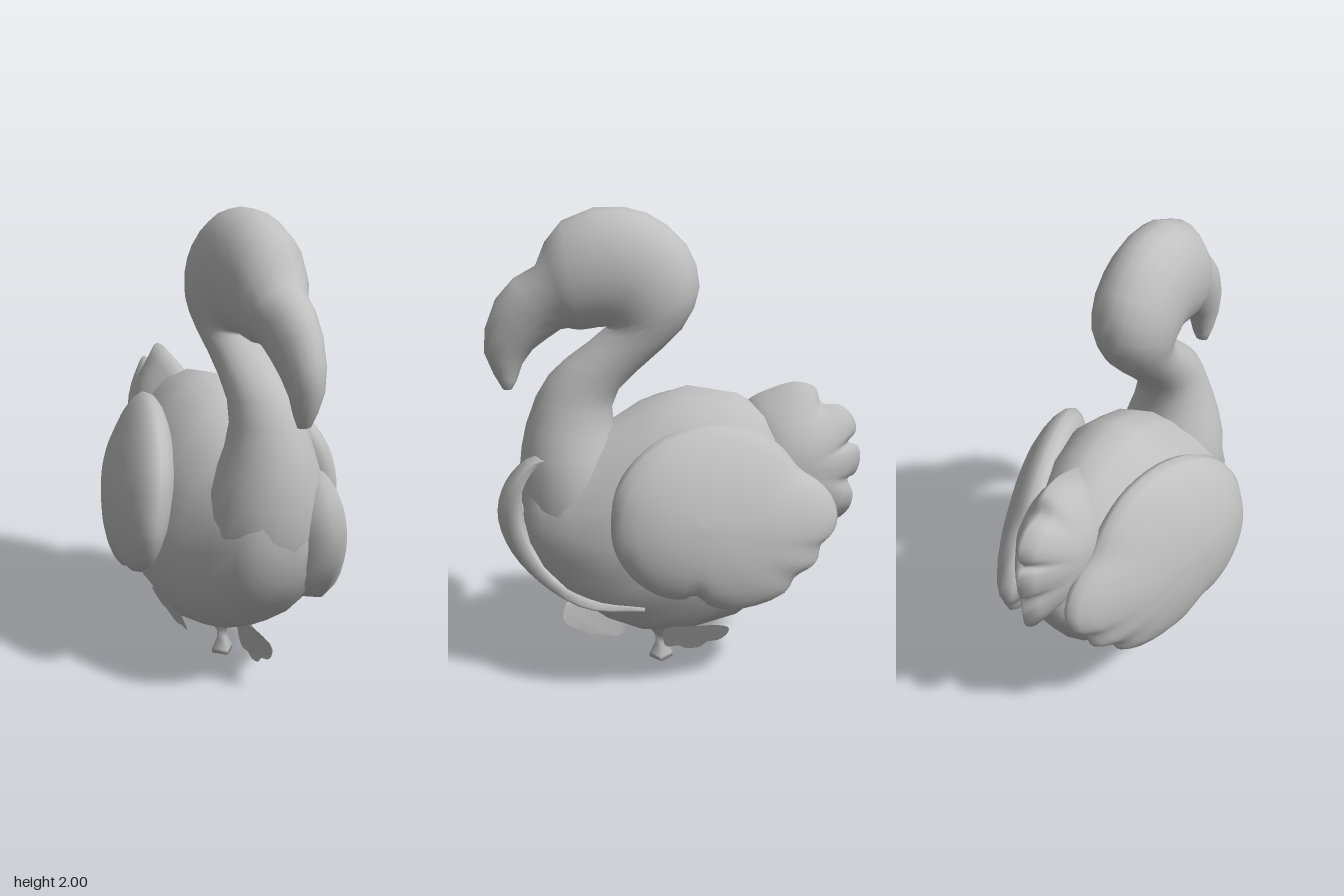
import * as THREE from 'three';

const grey = new THREE.MeshStandardMaterial({ color: 0xc0c0c0, side: THREE.DoubleSide });
grey.name = 'plain grey';

// Skins rows of points; closed rows wrap round and the result is turned outward
function loft(rows, closed = true) {
  const n = rows[0].length, pos = rows.flat(2), index = [];
  for (let i = 0; i < rows.length - 1; i++) {
    for (let j = 0; j < (closed ? n : n - 1); j++) {
      const a = i * n + j, b = i * n + (j + 1) % n, c = a + n, d = b + n;
      index.push(a, b, c, b, d, c);
    }
  }
  if (closed) {
    let volume = 0;
    const v = (i) => new THREE.Vector3().fromArray(pos, i * 3);
    for (let i = 0; i < index.length; i += 3) {
      volume += v(index[i]).dot(v(index[i + 1]).cross(v(index[i + 2])));
    }
    if (volume < 0) index.reverse();
  }
  const g = new THREE.BufferGeometry();
  g.setAttribute('position', new THREE.Float32BufferAttribute(pos, 3));
  g.setIndex(index);
  g.computeVertexNormals();
  return g;
}

const ring = (fn, n = 20) => Array.from({ length: n }, (_, i) => fn(Math.cos(i / n * 2 * Math.PI), Math.sin(i / n * 2 * Math.PI)));

const smooth = (pts, n, closed) => new THREE.CatmullRomCurve3(
  pts.map((p) => new THREE.Vector3(p[0], p[1], p[2] ?? 0)), closed, 'centripetal').getPoints(n);

// Lens-shaped feather mass: a (z, y) outline bulging either side of a base surface.
// The scallops of the outline fade out toward the centre.
function lens(outline, centre, baseX, outer, inner, profile, side = 1) {
  const rim = smooth(outline, 72, true).slice(0, -1);
  const soft = rim.map((_, i) => {
    const mean = new THREE.Vector3();
    for (let k = -6; k <= 6; k++) mean.addScaledVector(rim[(i + k + 72) % 72], 1 / 13);
    return mean;
  });
  const steps = 7, rows = [];
  for (let k = -steps; k <= steps; k++) {
    const [r, h] = profile(1 - Math.abs(k) / steps);
    rows.push(rim.map((p, i) => {
      const q = soft[i].clone().lerp(p, r ** 4);
      const z = centre[0] + (q.x - centre[0]) * r, y = centre[1] + (q.y - centre[1]) * r;
      return [side * (baseX(z, y) + h * (k < 0 ? outer : -inner)), y, z];
    }));
  }
  return loft(rows);
}

export function createModel() {
  const model = new THREE.Group();
  const add = (name, geometry) => {
    const mesh = new THREE.Mesh(geometry, grey);
    mesh.name = name;
    model.add(mesh);
    return mesh;
  };

  // Body: egg-shaped sections as z, bottom, top, half width
  const body = [
    [-0.64, 0.75, 0.76, 0.005], [-0.6, 0.59, 0.95, 0.1], [-0.45, 0.37, 1.1, 0.22],
    [-0.25, 0.23, 1.22, 0.32], [-0.05, 0.175, 1.255, 0.365], [0.15, 0.175, 1.19, 0.37],
    [0.3, 0.23, 1.09, 0.335], [0.45, 0.33, 1.05, 0.27], [0.57, 0.46, 1.0, 0.21],
    [0.625, 0.57, 0.95, 0.155], [0.65, 0.67, 0.87, 0.08], [0.655, 0.76, 0.77, 0.005],
  ];
  add('body', loft(body.map(([z, lo, hi, w]) => ring((c, s) =>
    [w * c * (1 - 0.15 * s), (lo + hi) / 2 + s * (hi - lo) / 2, z]))));

  // Breast, neck, head and beak: front z, y, back z, y, half width
  const neck = [
    [0.55, 0.5, 0.2, 0.5, 0.2], [0.635, 0.63, 0.2, 0.63, 0.235], [0.665, 0.78, 0.2, 0.78, 0.243],
    [0.664, 0.9, 0.21, 0.9, 0.232], [0.652, 1.0, 0.24, 1.0, 0.205],
    [0.63, 1.1, 0.262, 1.08, 0.174],
    [0.585, 1.22, 0.27, 1.17, 0.145], [0.53, 1.31, 0.24, 1.25, 0.133], [0.46, 1.375, 0.16, 1.33, 0.127],
    [0.37, 1.44, 0.06, 1.42, 0.128], [0.31, 1.49, -0.025, 1.505, 0.138], [0.288, 1.505, -0.073, 1.59, 0.15],
    [0.285, 1.51, -0.093, 1.67, 0.16], [0.285, 1.515, -0.08, 1.76, 0.166], [0.29, 1.515, -0.04, 1.845, 0.17],
    [0.3, 1.515, 0.04, 1.925, 0.17], [0.31, 1.51, 0.12, 1.973, 0.17], [0.325, 1.51, 0.21, 1.997, 0.17],
    [0.35, 1.505, 0.33, 1.997, 0.168], [0.39, 1.5, 0.46, 1.945, 0.16], [0.42, 1.505, 0.53, 1.86, 0.145],
    [0.44, 1.51, 0.57, 1.765, 0.122], [0.47, 1.505, 0.66, 1.715, 0.108], [0.53, 1.465, 0.735, 1.63, 0.095],
    [0.59, 1.42, 0.782, 1.51, 0.08], [0.635, 1.36, 0.79, 1.41, 0.062], [0.66, 1.29, 0.755, 1.32, 0.045],
    [0.68, 1.255, 0.72, 1.255, 0.028], [0.7, 1.25, 0.702, 1.25, 0.002],
  ];
  add('neckHeadAndBeak', loft(neck.map(([fz, fy, bz, by, w]) => ring((c, s) =>
    [w * c, (fy + by) / 2 + s * (fy - by) / 2, (fz + bz) / 2 + s * (fz - bz) / 2]))));

  // Folded wings with a scalloped trailing edge, sunk into the body
  const wing = [
    [0.285, 0.8], [0.26, 0.95], [0.18, 1.06], [0.05, 1.14], [-0.12, 1.17], [-0.3, 1.13], [-0.42, 1.04],
    [-0.5, 0.94], [-0.58, 0.88], [-0.64, 0.81], [-0.67, 0.72], [-0.65, 0.65], [-0.6, 0.61], [-0.575, 0.53],
    [-0.49, 0.49], [-0.44, 0.42], [-0.25, 0.38], [-0.12, 0.41], [-0.05, 0.475], [0, 0.46], [0.1, 0.49],
    [0.2, 0.57], [0.27, 0.69],
  ];
  const dome = (t) => [Math.sin(t * Math.PI / 2), Math.cos(t * Math.PI / 2)];
  for (const side of [1, -1]) {
    add(side > 0 ? 'leftWing' : 'rightWing', lens(wing, [-0.08, 0.8],
      (z, y) => 0.3 + 0.28 * (z + 0.1) - 0.14 * (y - 0.8), 0.157, 0.14, dome, side));
  }

  // Upright tail fan with rounded feather tips
  const tail = [
    [-0.25, 1.1], [-0.3, 1.19], [-0.4, 1.24], [-0.5, 1.265], [-0.58, 1.24], [-0.61, 1.17], [-0.69, 1.16],
    [-0.75, 1.1], [-0.76, 1.04], [-0.73, 0.995], [-0.77, 0.98], [-0.785, 0.92], [-0.765, 0.85],
    [-0.735, 0.83], [-0.76, 0.76], [-0.745, 0.69], [-0.68, 0.635], [-0.55, 0.62], [-0.35, 0.7], [-0.25, 0.9],
  ];
  add('tail', lens(tail, [-0.45, 0.93], () => 0, 0.16, 0.16, (t) => [t, 1 - t ** 2.2]));

  // Curled crescent feather on the left of the breast: root, crest, rim and inner rows
  const crescent = [
    [[0.15, 0.97, 0.45], [0.11, 0.97, 0.58], [0.07, 0.86, 0.64], [0.065, 0.7, 0.65], [0.08, 0.55, 0.6], [0.14, 0.42, 0.48], [0.25, 0.36, 0.34], [0.33, 0.38, 0.15]],
    [[0.16, 0.99, 0.45], [0.14, 1.005, 0.6], [0.12, 0.9, 0.71], [0.12, 0.75, 0.755], [0.13, 0.59, 0.71], [0.18, 0.45, 0.58], [0.28, 0.375, 0.39], [0.34, 0.385, 0.15]],
    [[0.17, 0.985, 0.45], [0.18, 0.99, 0.59], [0.2, 0.89, 0.68], [0.205, 0.75, 0.71], [0.21, 0.6, 0.67], [0.24, 0.47, 0.56], [0.31, 0.395, 0.38], [0.355, 0.4, 0.15]],
    [[0.165, 0.975, 0.45], [0.165, 0.975, 0.57], [0.18, 0.88, 0.64], [0.18, 0.75, 0.66], [0.19, 0.61, 0.62], [0.22, 0.48, 0.52], [0.28, 0.41, 0.35], [0.34, 0.405, 0.15]],
  ];
  add('breastFeather', loft(crescent.map((row) => smooth(row, 24, false).map((p) => p.toArray())), false));

  // Thin scalloped plates under the body: outlines in (z, y)
  const plate = (name, pts, xAt) => {
    const shape = new THREE.Shape(smooth(pts, 40, true).map((p) => new THREE.Vector2(p.x, p.y)));
    const g = new THREE.ShapeGeometry(shape);
    const p = g.attributes.position;
    for (let i = 0; i < p.count; i++) p.setXYZ(i, xAt(p.getY(i)), p.getY(i), p.getX(i));
    g.computeVertexNormals();
    add(name, g);
  };
  plate('frontPlate', [[0.35, 0.29], [0.42, 0.275], [0.48, 0.265], [0.5, 0.2], [0.47, 0.155], [0.41, 0.13],
    [0.385, 0.1], [0.33, 0.09], [0.3, 0.105], [0.25, 0.105], [0.22, 0.14], [0.2, 0.24]],
  (y) => (y > 0.23 ? (0.23 - y) * 0.7 : 0));
  const sidePlate = [[0.06, 0.24], [0.07, 0.19], [0.055, 0.135], [0, 0.135], [-0.03, 0.12], [-0.09, 0.125],
    [-0.12, 0.155], [-0.17, 0.165], [-0.205, 0.2], [-0.21, 0.235], [-0.18, 0.25], [-0.06, 0.25]];
  for (const side of [1, -1]) {
    plate(side > 0 ? 'leftPlate' : 'rightPlate', sidePlate, (y) => side * (0.16 + 0.4 * (y - 0.12)));
  }

  // Short four-sided foot, flared at both ends
  const foot = [[0, 0], [0.052, 0], [0.05, 0.02], [0.024, 0.075], [0.026, 0.11], [0.06, 0.15], [0.11, 0.2]];
  const post = add('foot', new THREE.LatheGeometry(foot.map((p) => new THREE.Vector2(...p)), 4));
  post.position.z = 0.07;

  return model;
}
